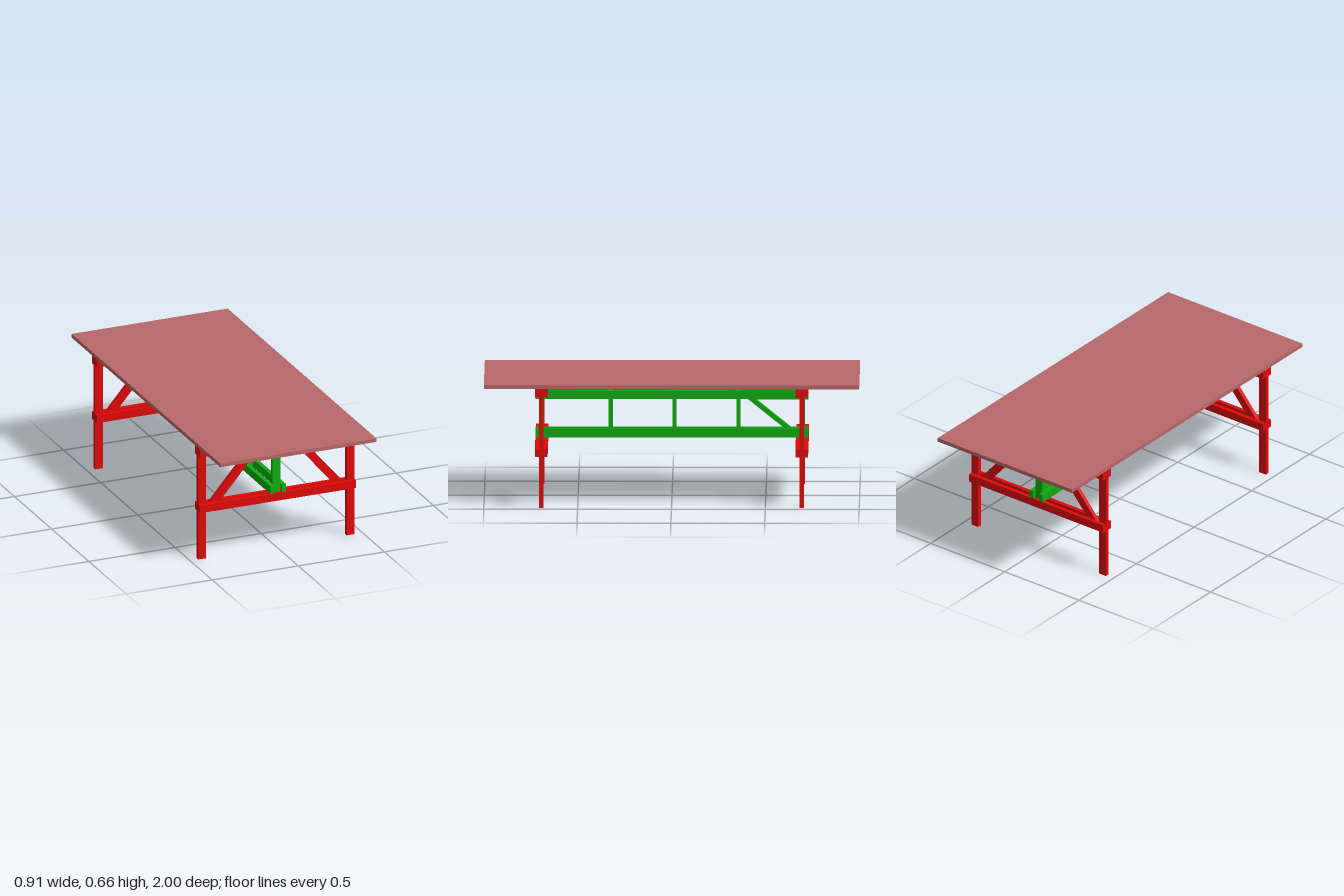
import * as THREE from 'three';

const RED = new THREE.MeshStandardMaterial({ color: 0xe00808 });
const GREEN = new THREE.MeshStandardMaterial({ color: 0x10aa10 });
const TOP = new THREE.MeshStandardMaterial({ color: 0xb86868 });

const T = 0.0226; // plank thickness
const W = 0.0445; // plank width
const HALF = 0.453; // half width of the table

// Box given by its extents on each axis
function plank(name, material, [x0, x1], [y0, y1], [z0, z1]) {
  const mesh = new THREE.Mesh(new THREE.BoxGeometry(x1 - x0, y1 - y0, z1 - z0), material);
  mesh.position.set((x0 + x1) / 2, (y0 + y1) / 2, (z0 + z1) / 2);
  mesh.name = name;
  return mesh;
}

// Sloping plank with level-cut ends, extruded to a depth centred on z = 0
function brace(name, material, [u0, y0], [u1, y1], width, depth) {
  const shape = new THREE.Shape([
    new THREE.Vector2(u0 - width / 2, y0),
    new THREE.Vector2(u0 + width / 2, y0),
    new THREE.Vector2(u1 + width / 2, y1),
    new THREE.Vector2(u1 - width / 2, y1),
  ]);
  const geometry = new THREE.ExtrudeGeometry(shape, { depth, bevelEnabled: false });
  geometry.translate(0, 0, -depth / 2);
  const mesh = new THREE.Mesh(geometry, material);
  mesh.name = name;
  return mesh;
}

// Leg frame: two legs and two braces held between doubled cross beams
function createTrestle() {
  const trestle = new THREE.Group();
  trestle.name = 'trestle';
  for (const s of [-1, 1]) {
    const x = s * (HALF - W / 2);
    trestle.add(plank('leg', RED, [x - W / 2, x + W / 2], [0, 0.64], [-T / 2, T / 2]));
    trestle.add(brace('legBrace', RED, [s * 0.374, 0.297], [s * 0.102, 0.615], 0.058, T));
    const z = s * T;
    for (const [name, y0, y1] of [['lowerBeam', 0.274, 0.318], ['upperBeam', 0.594, 0.64]]) {
      trestle.add(plank(name, RED, [-HALF, HALF], [y0, y1], [z - T / 2, z + T / 2]));
    }
  }
  // Post of the central truss, clamped by the beams
  trestle.add(plank('endPost', GREEN, [-W / 2, W / 2], [0.274, 0.64], [-T / 2, T / 2]));
  return trestle;
}

// Long central truss joining the trestles
function createTruss() {
  const truss = new THREE.Group();
  truss.name = 'truss';
  for (const s of [-1, 1]) {
    const x = s * (W + T) / 2;
    for (const [name, y0, y1] of [['lowerRail', 0.319, 0.364], ['upperRail', 0.525, 0.57]]) {
      truss.add(plank(name, GREEN, [x - T / 2, x + T / 2], [y0, y1], [-0.728, 0.728]));
    }
  }
  for (const z of [0.327, -0.013, -0.354]) {
    truss.add(plank('trussPost', GREEN, [-W / 2, W / 2], [0.319, 0.57], [z - T / 2, z + T / 2]));
  }
  // Single diagonal towards the back trestle, drawn in the y-z plane
  const diagonal = brace('trussDiagonal', GREEN, [0.648, 0.342], [0.392, 0.548], 0.038, W);
  diagonal.rotation.y = Math.PI / 2;
  truss.add(diagonal);
  return truss;
}

export function createModel() {
  const table = new THREE.Group();
  table.name = 'trestleTable';
  table.add(plank('tabletop', TOP, [-HALF, HALF], [0.64, 0.661], [-1, 1]));
  for (const s of [-1, 1]) {
    const trestle = createTrestle();
    trestle.position.z = s * 0.694;
    table.add(trestle);
  }
  table.add(createTruss());
  return table;
}
